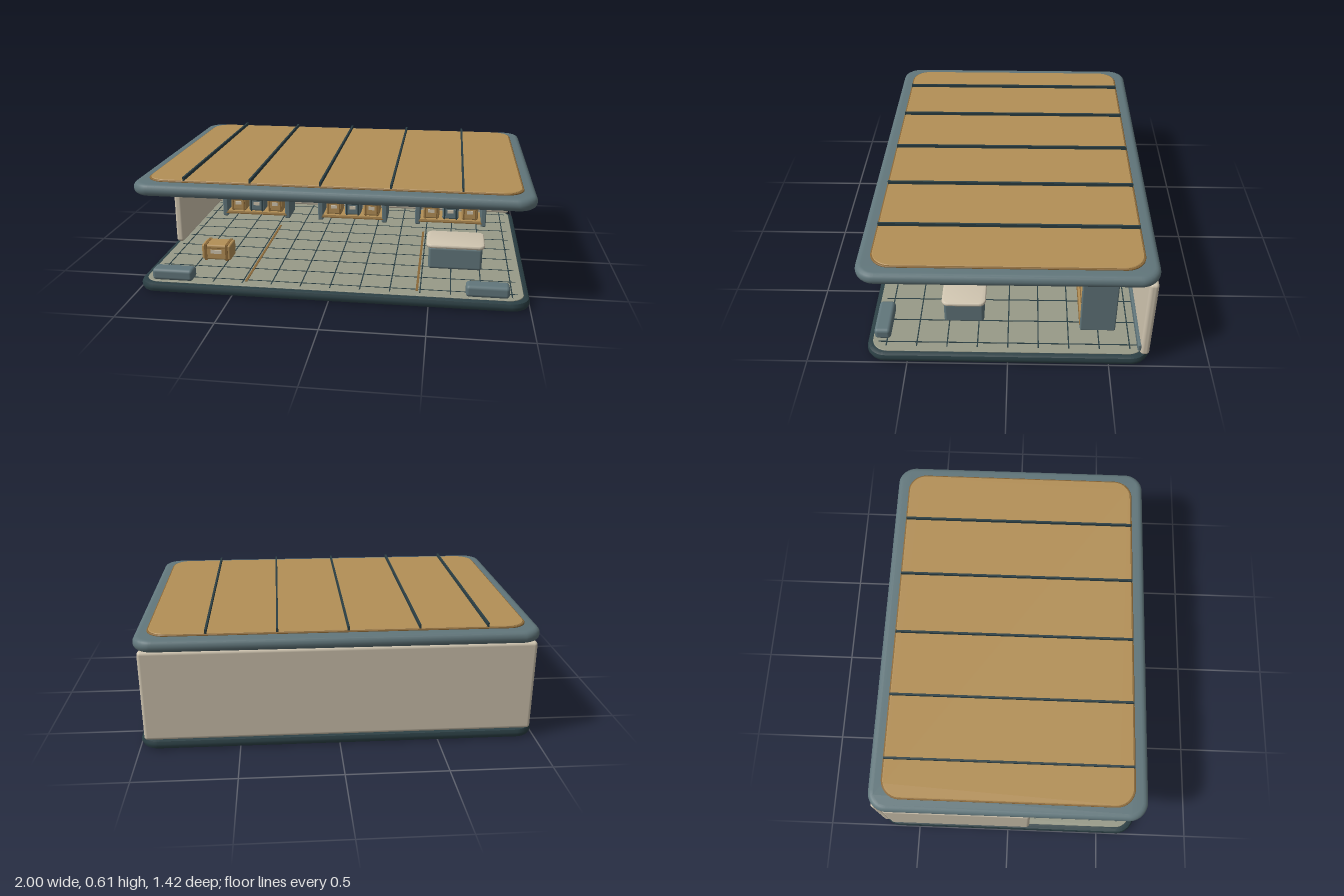
import * as THREE from 'three';
import { toCreasedNormals } from 'three/addons/utils/BufferGeometryUtils.js';
import { RoundedBoxGeometry } from 'three/addons/geometries/RoundedBoxGeometry.js';

const material = (name, color) => new THREE.MeshStandardMaterial({ name, color });

export function createModel() {
  const slate = material('slate', 0x61767b);
  const dark = material('dark slate', 0x2b3f44);
  const tan = material('tan', 0xb38f56);
  const bronze = material('bronze', 0x8a6838);
  const cream = material('cream', 0xd0c5b0);
  const glass = material('teal glass', 0x5d9a9c);
  const glint = material('pale teal', 0x9cc4bd);
  const tile = material('floor tile', 0x989a88);

  const model = new THREE.Group();
  model.name = 'storageKiosk';

  const add = (parent, name, geometry, mat, x = 0, y = 0, z = 0) => {
    const mesh = new THREE.Mesh(geometry, mat);
    mesh.name = name;
    mesh.position.set(x, y, z);
    parent.add(mesh);
    return mesh;
  };
  const box = (parent, name, mat, w, h, d, x, y, z) =>
    add(parent, name, new THREE.BoxGeometry(w, h, d), mat, x, y, z);
  const soft = (parent, name, mat, w, h, d, r, x, y, z) =>
    add(parent, name, new RoundedBoxGeometry(w, h, d, 3, r), mat, x, y, z);
  const group = (name, x = 0, y = 0, z = 0) => {
    const g = new THREE.Group();
    g.name = name;
    g.position.set(x, y, z);
    model.add(g);
    return g;
  };

  // Horizontal slab with rounded plan corners and a bevelled rim; y is its underside
  const slab = (parent, name, mat, w, d, h, r, bevel, segments, x, y, z) => {
    const a = w / 2 - bevel, b = d / 2 - bevel, c = r - bevel;
    const s = new THREE.Shape();
    s.moveTo(-a + c, -b);
    s.lineTo(a - c, -b);
    s.absarc(a - c, -b + c, c, -Math.PI / 2, 0);
    s.lineTo(a, b - c);
    s.absarc(a - c, b - c, c, 0, Math.PI / 2);
    s.lineTo(-a + c, b);
    s.absarc(-a + c, b - c, c, Math.PI / 2, Math.PI);
    s.lineTo(-a, -b + c);
    s.absarc(-a + c, -b + c, c, Math.PI, Math.PI * 1.5);
    const g = new THREE.ExtrudeGeometry(s, {
      depth: h - 2 * bevel, bevelEnabled: true, bevelThickness: bevel,
      bevelSize: bevel, bevelSegments: segments, curveSegments: 8,
    });
    g.rotateX(-Math.PI / 2);
    g.translate(0, bevel, 0);
    return add(parent, name, toCreasedNormals(g, 0.6), mat, x, y, z);
  };

  // Base and tiled floor
  slab(model, 'base', dark, 2, 1.415, 0.05, 0.1, 0.02, 2, 0, 0, 0);
  slab(model, 'floor', tile, 1.94, 1.36, 0.008, 0.08, 0.002, 1, 0, 0.046, 0);
  const joints = group('floorJoints', 0, 0.0545, 0);
  for (let i = -6; i <= 6; i++) box(joints, 'jointAlong', dark, 0.006, 0.002, 1.3, i * 0.152, 0, 0);
  for (let i = -4; i <= 4; i++) box(joints, 'jointAcross', dark, 1.88, 0.002, 0.006, 0, 0, i * 0.152);
  for (const x of [-0.44, 0.44]) box(joints, 'guideStrip', bronze, 0.012, 0.004, 0.86, x, 0.0005, 0.2);

  // Roof with inset deck and standing ribs
  slab(model, 'roof', slate, 2, 1.42, 0.062, 0.1, 0.028, 4, 0, 0.518, 0);
  slab(model, 'roofDeckEdge', bronze, 1.88, 1.29, 0.01, 0.1, 0.003, 1, 0, 0.577, 0);
  slab(model, 'roofDeck', tan, 1.865, 1.275, 0.014, 0.095, 0.003, 1, 0, 0.577, 0);
  for (const x of [-0.735, -0.397, -0.045, 0.302, 0.647])
    box(model, 'roofRib', dark, 0.01, 0.02, 1.28, x, 0.598, 0);

  // Walls, kick rail and hanging rail
  soft(model, 'backWall', cream, 1.95, 0.475, 0.046, 0.018, 0, 0.286, -0.677);
  soft(model, 'sideWall', cream, 0.046, 0.39, 0.775, 0.018, -0.967, 0.247, -0.268);
  soft(model, 'kickRail', slate, 1.92, 0.042, 0.018, 0.006, 0.01, 0.095, -0.649);
  const rail = new THREE.CylinderGeometry(0.015, 0.015, 1.785, 16).rotateZ(Math.PI / 2);
  add(model, 'hangingRail', rail, slate, -0.027, 0.477, -0.627);
  for (const x of [-0.7, -0.01, 0.68]) {
    box(model, 'railBracket', dark, 0.014, 0.014, 0.04, x, 0.477, -0.642);
    box(model, 'railHook', dark, 0.014, 0.02, 0.012, x, 0.458, -0.627);
  }

  // Windows on the inside of the back wall
  for (const x of [-0.7, -0.125, 0.465]) {
    const w = group('window', x, 0.343, -0.645);
    soft(w, 'windowFrame', dark, 0.37, 0.185, 0.022, 0.008, 0, 0, 0);
    box(w, 'windowPane', glass, 0.335, 0.15, 0.008, 0, 0, 0.011);
    box(w, 'windowGlint', glint, 0.1, 0.008, 0.004, -0.08, 0.035, 0.016);
    box(w, 'windowGlint', glint, 0.06, 0.006, 0.004, 0.09, -0.035, 0.016);
  }

  // Crate standing on the group's given height, with straps, lid seam and label
  const crate = (parent, mat, w, h, d, x, y, z) => {
    const g = new THREE.Group();
    g.name = 'crate';
    g.position.set(x, y + h / 2, z);
    parent.add(g);
    const trim = mat === tan ? bronze : dark;
    soft(g, 'crateBody', mat, w, h, d, 0.01, 0, 0, 0);
    for (const s of [-1, 1]) box(g, 'crateStrap', trim, w * 0.09, h + 0.004, d + 0.004, s * w * 0.36, 0, 0);
    box(g, 'crateSeam', trim, w * 0.64, 0.004, 0.004, 0, h * 0.3, d / 2);
    box(g, 'crateLabel', cream, w * 0.38, h * 0.24, 0.006, 0, h * 0.06, d / 2 + 0.002);
  };

  // Three shelving racks
  for (const x of [-0.63, -0.012, 0.6]) {
    const rack = group('rack', x, 0, -0.455);
    for (const s of [-1, 1]) soft(rack, 'rackSide', slate, 0.032, 0.452, 0.18, 0.007, s * 0.202, 0.279, 0);
    for (const y of [0.08, 0.236, 0.388]) {
      box(rack, 'shelf', tan, 0.39, 0.016, 0.178, 0, y, 0);
      box(rack, 'shelfLip', bronze, 0.39, 0.006, 0.006, 0, y - 0.006, 0.09);
      for (let i = -1; i <= 1; i++)
        crate(rack, i === 0 ? slate : tan, 0.1, 0.088, 0.125, i * 0.119, y + 0.009, 0.01);
    }
  }

  // Counter, loose crate and front bumpers
  const counter = group('counter', 0.628, 0, 0.228);
  soft(counter, 'counterBody', slate, 0.285, 0.125, 0.205, 0.015, 0, 0.115, 0);
  slab(counter, 'counterTop', cream, 0.31, 0.225, 0.022, 0.035, 0.009, 3, 0, 0.173, 0);
  crate(model, tan, 0.16, 0.085, 0.105, -0.648, 0.09, 0.398);
  for (const x of [-0.82, 0.79]) {
    soft(model, 'bumper', slate, 0.215, 0.062, 0.082, 0.018, x, 0.084, 0.63);
  }

  return model;
}
